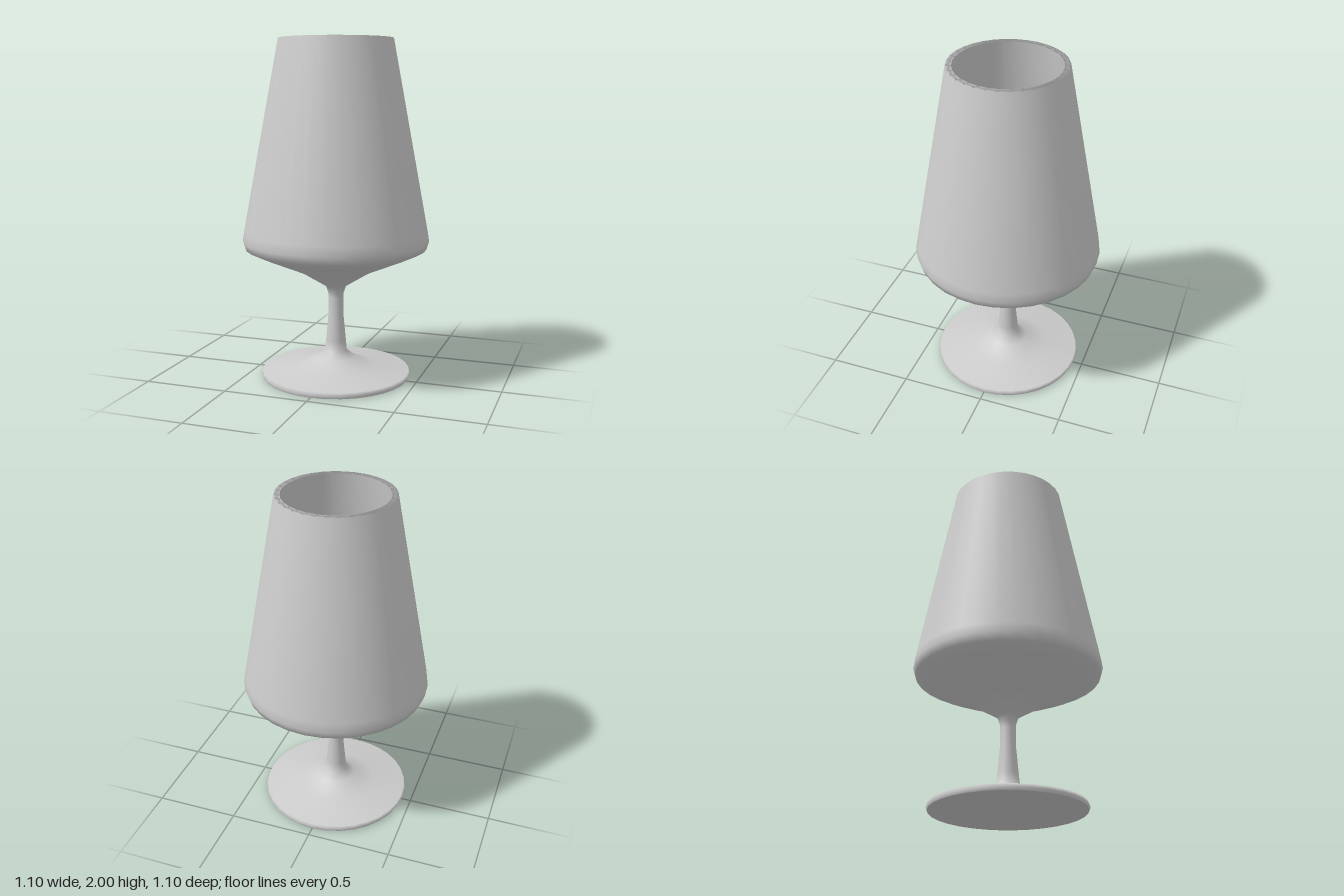
import * as THREE from 'three';

const SIDES = 32;

export function createModel() {
  const group = new THREE.Group();
  const material = new THREE.MeshStandardMaterial({ color: 0xcccccc });

  const add = (name, geometry) => {
    const mesh = new THREE.Mesh(geometry, material);
    mesh.name = name;
    group.add(mesh);
    return mesh;
  };
  // Turned part from [radius, height] pairs
  const turn = (name, profile) =>
    add(name, new THREE.LatheGeometry(profile.map(([r, y]) => new THREE.Vector2(r, y)), SIDES));

  // Flat underside of the foot
  add('footUnderside', new THREE.CircleGeometry(0.44, SIDES)).rotation.x = Math.PI / 2;

  // Foot: thin rim, then a shallow slope sweeping up to the stem
  turn('foot', [
    [0.44, 0], [0.447, 0.015], [0.44, 0.035], [0.24, 0.055],
    [0.115, 0.11], [0.066, 0.15], [0.06, 0.21],
  ]);

  // Slender tapering stem
  turn('stem', [[0.06, 0.21], [0.045, 0.37], [0.045, 0.48]]);

  // Bowl: conical underside, rounded shoulder, tapering wall, rim, inner wall and floor
  turn('bowl', [
    [0.045, 0.48], [0.046, 0.5], [0.06, 0.545], [0.215, 0.64], [0.44, 0.735],
    [0.535, 0.78], [0.55, 0.825], [0.542, 0.88], [0.333, 2],
    [0.3, 2], [0.505, 0.88], [0.505, 0.83], [0.45, 0.79], [0.3, 0.775], [0, 0.77],
  ]);

  return group;
}
